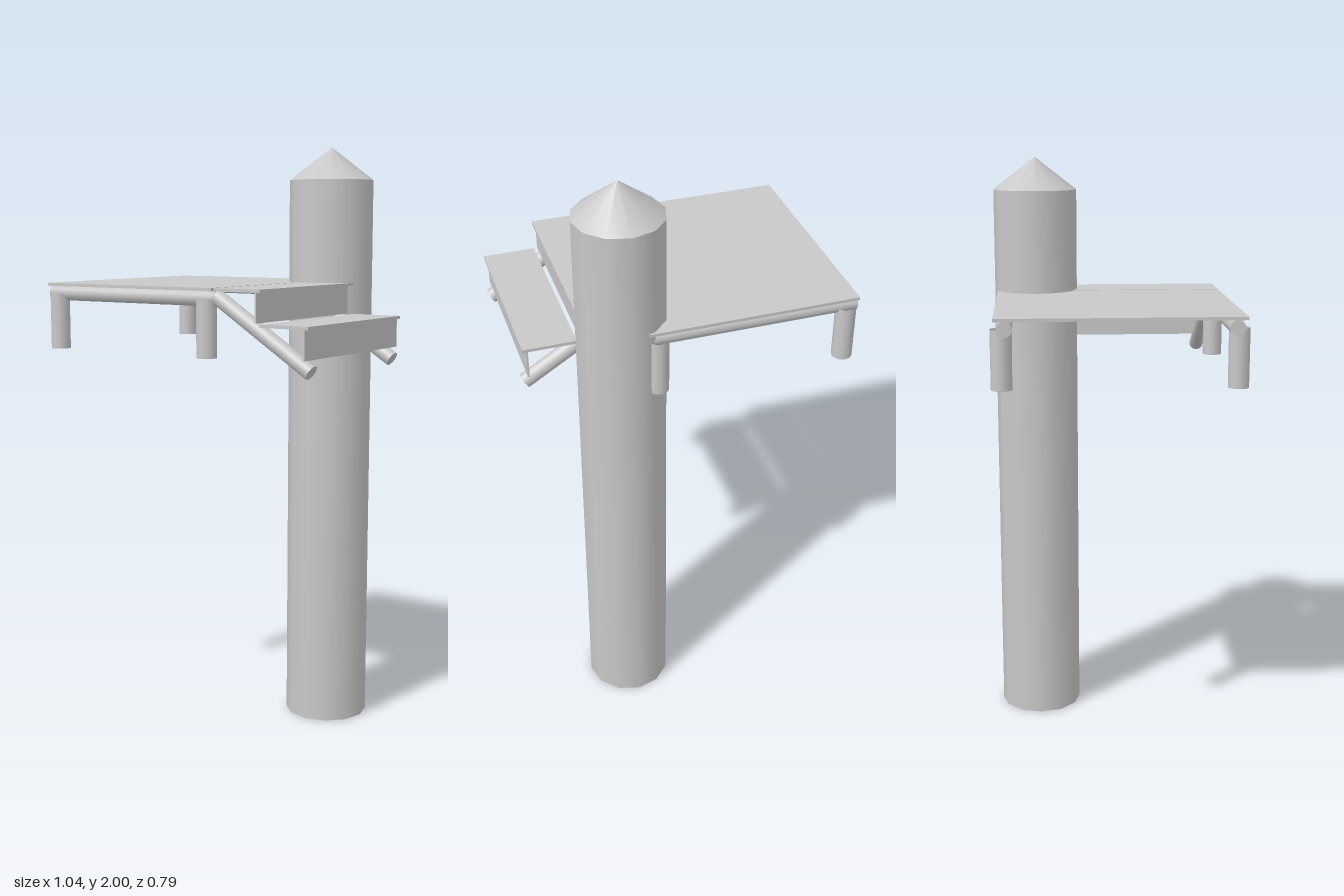
import * as THREE from 'three';

export function createModel() {
  const model = new THREE.Group();
  model.name = 'dockWithPiling';
  // double-sided because the upright poles are hollow and open at the foot
  const grey = new THREE.MeshStandardMaterial({ color: 0xc8c8c8, side: THREE.DoubleSide });
  grey.name = 'plain grey';

  const add = (name, geometry, x, y, z) => {
    const mesh = new THREE.Mesh(geometry, grey);
    mesh.name = name;
    mesh.position.set(x, y, z);
    model.add(mesh);
    return mesh;
  };
  // box given by its limits on each axis
  const slab = (name, x0, x1, y0, y1, z0, z1) =>
    add(name, new THREE.BoxGeometry(x1 - x0, y1 - y0, z1 - z0),
      (x0 + x1) / 2, (y0 + y1) / 2, (z0 + z1) / 2);
  // round pole between two points in a plane of constant z
  const pole = (name, x0, y0, x1, y1, z, r) => {
    const length = Math.hypot(x1 - x0, y1 - y0);
    const mesh = add(name, new THREE.CylinderGeometry(r, r, length, 12),
      (x0 + x1) / 2, (y0 + y1) / 2, z);
    mesh.rotation.z = Math.atan2(y1 - y0, x1 - x0) - Math.PI / 2;
  };

  // tall piling, hollow at the foot, with a pointed cap
  const px = 0.213, pz = -0.252, pr = 0.143, shoulder = 1.89;
  add('piling', new THREE.CylinderGeometry(pr, pr, shoulder, 12, 1, true), px, shoulder / 2, pz);
  add('pilingCap', new THREE.ConeGeometry(pr, 2 - shoulder, 12, 1, true), px, (2 + shoulder) / 2, pz);

  // deck on two beams and four short posts
  slab('deck', -0.52, 0.16, 1.536, 1.546, -0.385, 0.385);
  for (const side of [-1, 1]) {
    pole('deckBeam', -0.52, 1.512, 0.16, 1.512, side * 0.352, 0.025);
    for (const x of [-0.486, 0.126]) {
      add('deckPost', new THREE.CylinderGeometry(0.033, 0.033, 0.185, 12, 1, true),
        x, 1.4175, side * 0.362);
    }
  }

  // two steps, each a tread with a riser under its outer edge
  const back = -0.2, front = 0.385;
  for (const [x0, x1, top] of [[0.17, 0.34, 1.546], [0.34, 0.513, 1.441]]) {
    slab('tread', x0, x1, top - 0.01, top, back, front);
    slab('riser', x1 - 0.018, x1 - 0.012, top - 0.103, top - 0.01, back, front);
  }

  // sloping poles that carry the steps
  for (const z of [-0.163, 0.352]) {
    pole('stepStringer', 0.158, 1.519, 0.505, 1.3, z, 0.025);
  }
  return model;
}
